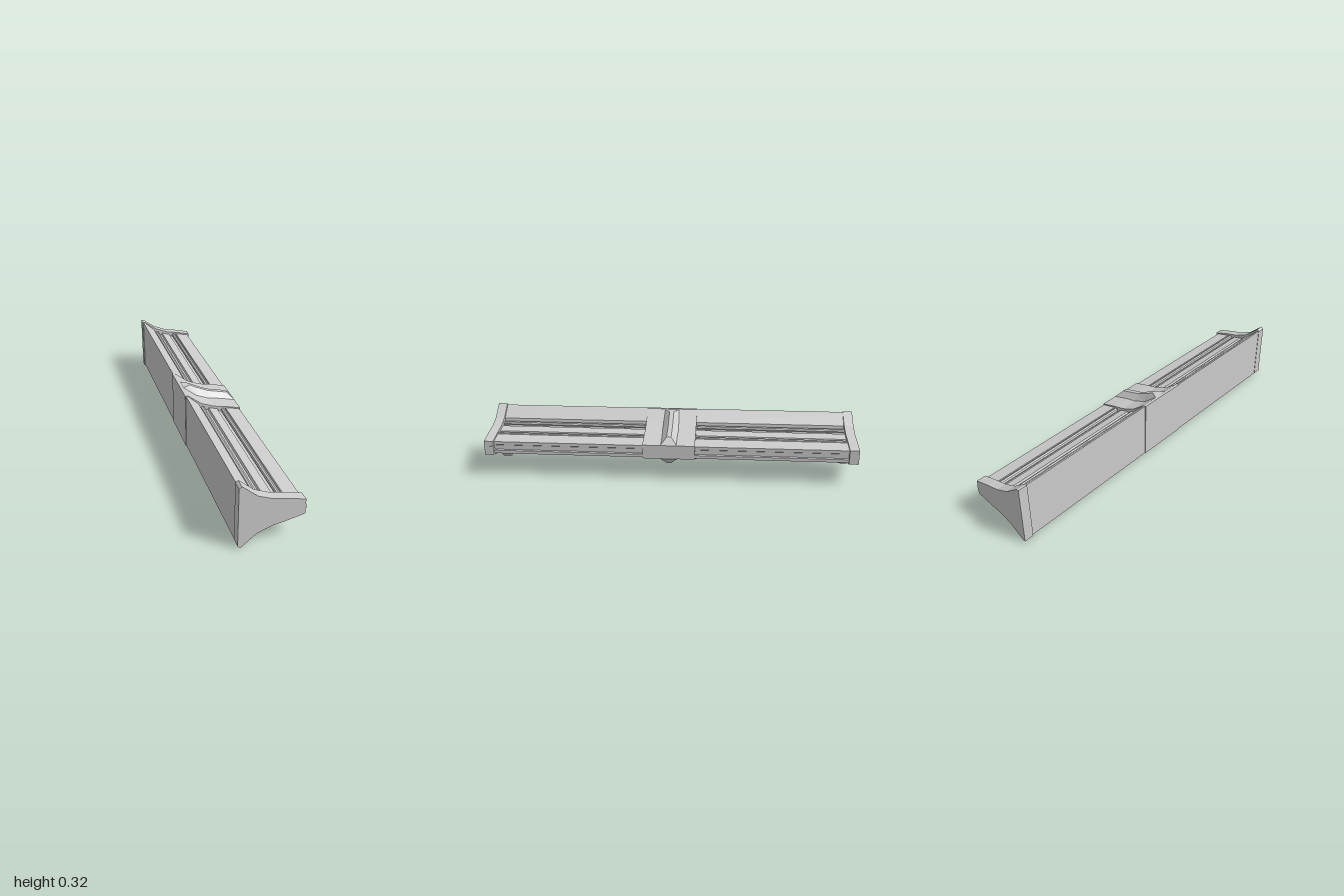
import * as THREE from 'three';

const MID = 0.1635; // every section mirrors about this height
const mat = new THREE.MeshStandardMaterial({ color: 0xcccccc, flatShading: true });

function add(group, name, geometry) {
  const mesh = new THREE.Mesh(geometry, mat);
  mesh.name = name;
  group.add(mesh);
  return mesh;
}

// Mirror an upper outline (back to front) and extrude it between z0 and z1
function prism(upper, z0, z1) {
  const lower = upper.map(([x, y]) => [x, 2 * MID - y]).reverse();
  const shape = new THREE.Shape([...upper, ...lower].map(([x, y]) => new THREE.Vector2(x, y)));
  const geo = new THREE.ExtrudeGeometry(shape, { depth: z1 - z0, bevelEnabled: false });
  return geo.translate(0, 0, z0);
}

// Ridge: wide foot, narrow crest, both ends sloping to the band; s = 1 top, -1 bottom
function ridge(s) {
  const rows = [ // x, foot y, crest y, crest half width
    [-0.153, 0.312, 0.313, 0.047], [-0.098, 0.275, 0.312, 0.012], [-0.063, 0.252, 0.293, 0.012],
    [0.005, 0.228, 0.263, 0.012], [0.07, 0.214, 0.248, 0.012], [0.113, 0.204, 0.238, 0.012],
    [0.146, 0.198, 0.201, 0.044]];
  const pos = [], idx = [];
  for (const [x, foot, crest, w] of rows) {
    for (const [y, z] of [[foot, -0.047], [crest, -w], [crest, w], [foot, 0.047]]) {
      pos.push(x, MID + s * (y - MID), z);
    }
  }
  for (let i = 0; i < rows.length - 1; i++) {
    for (let j = 0; j < 3; j++) {
      const a = i * 4 + j, b = a + 1, c = a + 4, d = a + 5;
      if (s > 0) idx.push(a, b, d, a, d, c);
      else idx.push(a, d, b, a, c, d);
    }
  }
  const geo = new THREE.BufferGeometry();
  geo.setAttribute('position', new THREE.Float32BufferAttribute(pos, 3));
  geo.setIndex(idx);
  geo.computeVertexNormals();
  return geo;
}

export function createModel() {
  const model = new THREE.Group();
  model.name = 'flaredBar';

  // Long body with a recessed channel above and below and a groove along the front
  const bodyOutline = [[-0.153, 0.315], [-0.141, 0.311], [-0.083, 0.257], [-0.08, 0.232],
    [-0.035, 0.217], [-0.03, 0.229], [0.018, 0.215], [0.022, 0.203], [0.062, 0.192], [0.065, 0.213],
    [0.142, 0.197], [0.142, 0.18], [0.135, 0.176]];
  for (const s of [-1, 1]) {
    const body = prism(bodyOutline, s > 0 ? 0.13 : -0.96, s > 0 ? 0.96 : -0.13);
    add(model, s > 0 ? 'frontBody' : 'backBody', body);
  }

  // End caps, the front one a little taller
  const capCurve = [[-0.07, 0.263], [0, 0.235], [0.07, 0.222], [0.153, 0.202]];
  add(model, 'frontCap', prism([[-0.155, 0.314], [-0.143, 0.325], ...capCurve], 0.95, 1));
  add(model, 'backCap', prism([[-0.157, 0.317], [-0.143, 0.316], ...capCurve], -1, -0.95));
  for (const z of [-0.975, 0.975]) {
    add(model, 'capRib', new THREE.BoxGeometry(0.012, 0.022, 0.05)).position.set(0.15, MID, z);
  }

  // Middle band with its ridges
  const bandOutline = [[-0.157, 0.315], [-0.141, 0.314], [-0.07, 0.26], [0, 0.233],
    [0.07, 0.22], [0.147, 0.201]];
  add(model, 'middleBand', prism(bandOutline, -0.14, 0.14));
  add(model, 'topRidge', ridge(1));
  add(model, 'bottomRidge', ridge(-1));

  // Paired rods in the channels
  for (const side of [-1, 1]) {
    for (const end of [-1, 1]) {
      for (const [x, h] of [[-0.064, 0.07], [0.048, 0.043]]) {
        const rod = add(model, 'rod', new THREE.CylinderGeometry(0.012, 0.012, 0.81, 8));
        rod.rotation.x = Math.PI / 2;
        rod.position.set(x, MID + side * h, end * 0.55);
      }
    }
  }
  return model;
}
